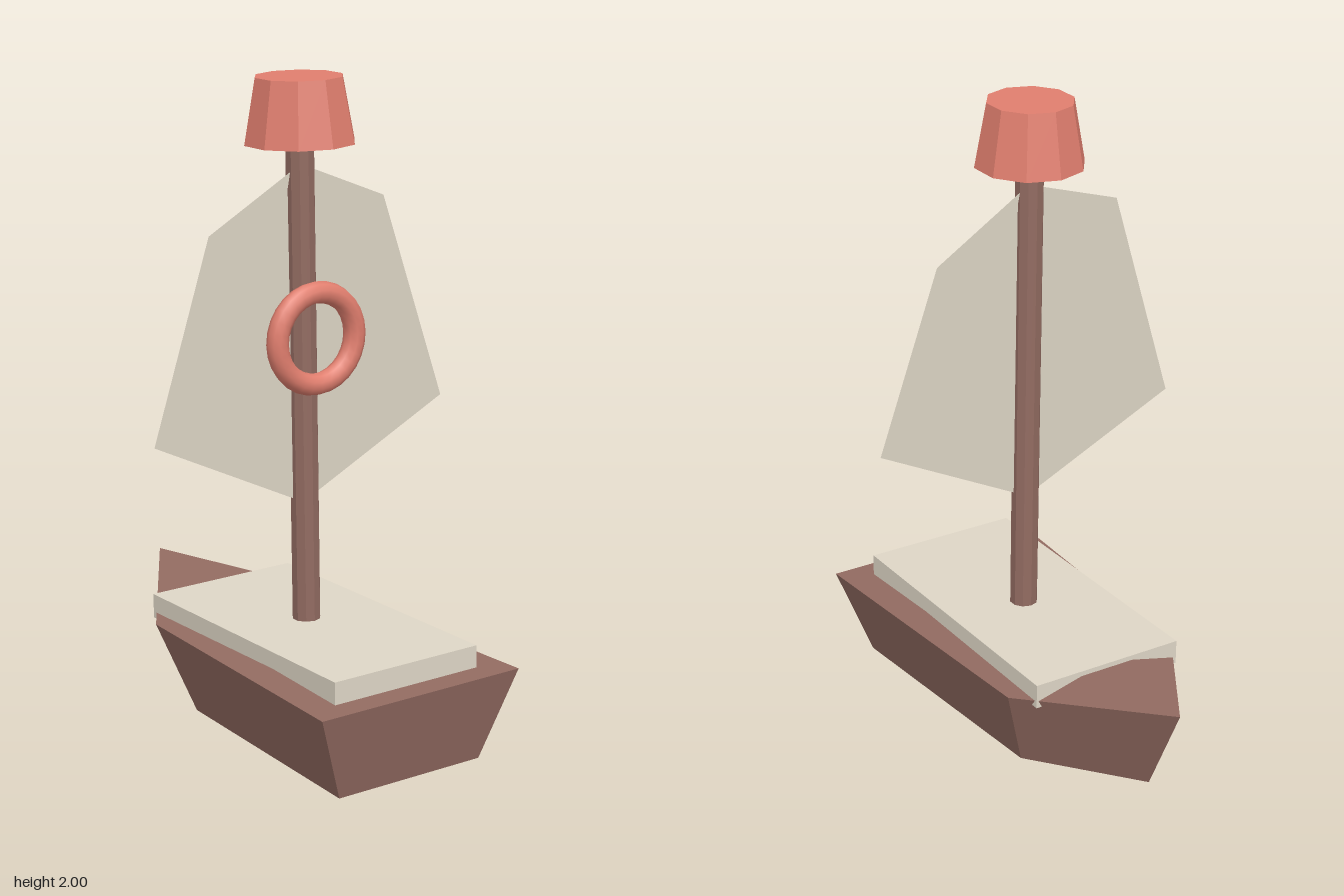
import * as THREE from 'three';

const paint = (name, color, side = THREE.FrontSide) =>
  Object.assign(new THREE.MeshStandardMaterial({ color, side }), { name });

// Geometry from polygons of point indices: each is fanned from its first corner and has one normal
function polygons(points, faces) {
  const pos = [], nor = [];
  for (const face of faces) {
    const p = face.map(i => new THREE.Vector3(...points[i]));
    const n = new THREE.Vector3();
    p.forEach((a, i) => n.add(a.clone().cross(p[(i + 1) % p.length])));
    n.normalize();
    for (let i = 1; i < p.length - 1; i++) {
      for (const v of [p[0], p[i], p[i + 1]]) {
        pos.push(v.x, v.y, v.z);
        nor.push(n.x, n.y, n.z);
      }
    }
  }
  const g = new THREE.BufferGeometry();
  g.setAttribute('position', new THREE.Float32BufferAttribute(pos, 3));
  g.setAttribute('normal', new THREE.Float32BufferAttribute(nor, 3));
  return g;
}

// Ten-sided faceted cylinder
function decagon(rTop, rBottom, height) {
  const g = new THREE.CylinderGeometry(rTop, rBottom, height, 10).toNonIndexed();
  g.computeVertexNormals();
  return g;
}

// Boat-shaped loop: stern left, stern right, mid right, bow, mid left
const loop = (w, z, y, midW, midZ, midY, bowZ, bowY) => [
  [-w, y, z], [w, y, z], [midW, midY, midZ], [0, bowY, bowZ], [-midW, midY, midZ],
];

export function createModel() {
  const wood = paint('brown wood', 0x926b61);
  const cream = paint('cream', 0xded6c6, THREE.DoubleSide);
  const coral = paint('coral', 0xe07e6e);

  const boat = new THREE.Group();
  boat.name = 'boat';
  const add = (name, geometry, material, x = 0, y = 0, z = 0) => {
    const mesh = new THREE.Mesh(geometry, material);
    mesh.name = name;
    mesh.position.set(x, y, z);
    boat.add(mesh);
  };

  // Hull: flared sides between a bottom loop and a top loop, both fanned from the bow
  const hullPoints = [
    ...loop(0.253, 0.645, 0, 0.205, -0.18, 0, -0.568, 0.055),
    ...loop(0.353, 0.708, 0.277, 0.301, -0.252, 0.282, -0.708, 0.354),
  ];
  const hullFaces = [[8, 9, 5, 6, 7], [3, 2, 1, 0, 4]];
  for (let i = 0; i < 5; i++) {
    const j = (i + 1) % 5;
    hullFaces.push([i, j, j + 5, i + 5]);
  }
  add('hull', polygons(hullPoints, hullFaces), wood);

  // Deck slab
  add('deck', new THREE.BoxGeometry(0.51, 0.077, 0.97), cream, -0.002, 0.311, 0.15);

  // Mast and the bucket-shaped top
  add('mast', decagon(0.0435, 0.0435, 1.5), wood, 0, 1.08, 0.13);
  add('mastTop', decagon(0.132, 0.167, 0.194), coral, 0.001, 1.894, 0.129);

  // Twisted six-cornered sail
  const sailPoints = [
    [-0.005, 0.714, 0.13], [0.505, 0.968, 0.14], [0.382, 1.586, 0.02],
    [0.005, 1.734, 0.126], [-0.389, 1.585, 0.237], [-0.512, 0.964, 0.115],
  ];
  add('sail', polygons(sailPoints, [[3, 4, 5, 0, 1, 2]]), cream);

  // Life ring on the front of the mast
  add('lifeRing', new THREE.TorusGeometry(0.1375, 0.033, 10, 28), coral, 0, 1.229, 0.201);

  // Slight roll of the whole boat
  boat.rotation.z = 0.02;
  boat.position.set(0.021, 0.006, 0);

  const model = new THREE.Group();
  model.name = 'sailboat';
  model.add(boat);
  return model;
}
